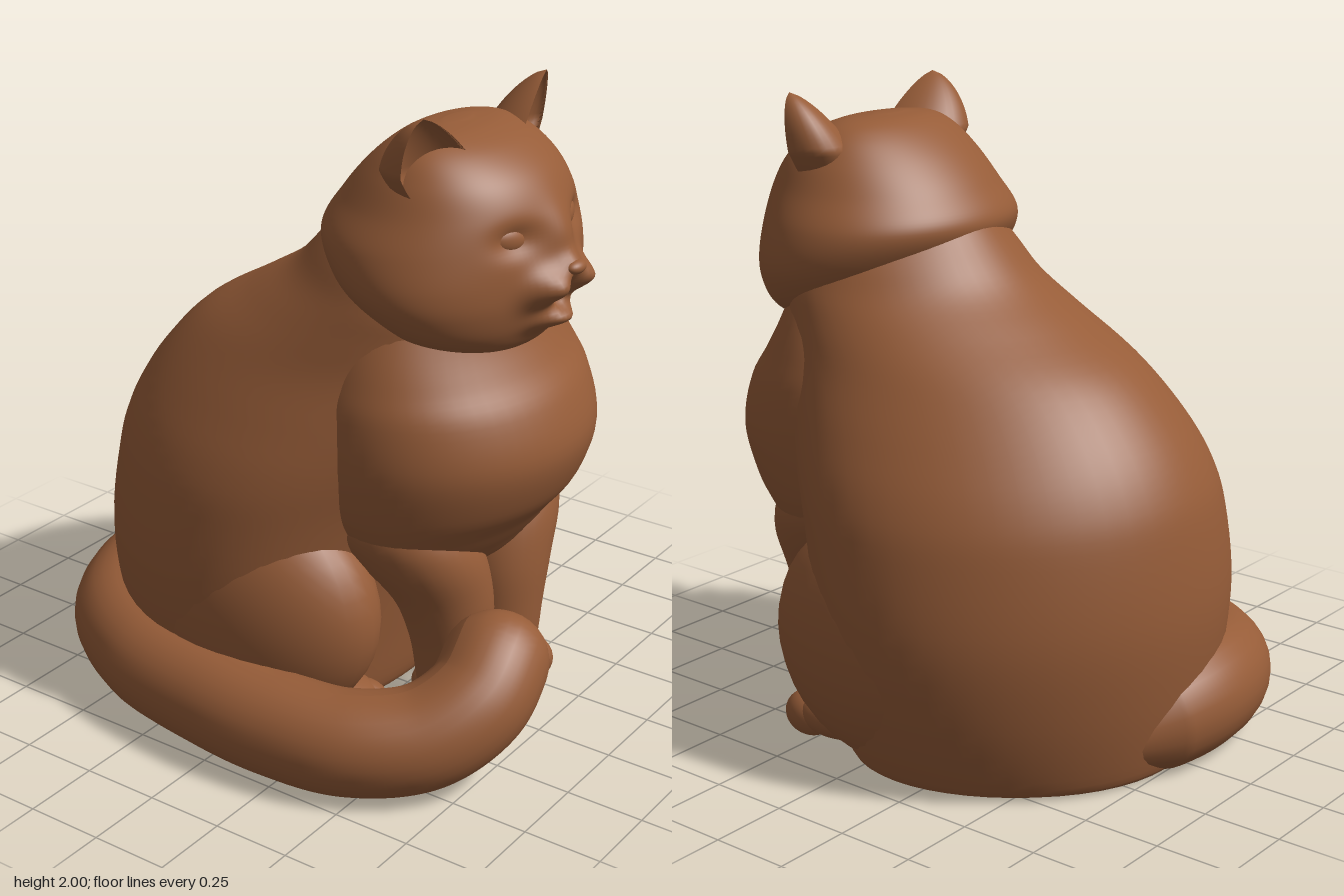
import * as THREE from 'three';

const fur = new THREE.MeshStandardMaterial({ color: 0x965c38 });
fur.name = 'brown fur';

function addMesh(parent, name, geometry) {
  const mesh = new THREE.Mesh(geometry, fur);
  mesh.name = name;
  parent.add(mesh);
  return mesh;
}

// Closed skin over rings of points; each ring is an array of n [x, y, z]
function skin(rings) {
  const n = rings[0].length;
  const index = [];
  for (let i = 0; i < rings.length - 1; i++) {
    for (let j = 0; j < n; j++) {
      const k = (j + 1) % n;
      const a = i * n + j, b = i * n + k, c = a + n, d = b + n;
      index.push(a, c, b, b, c, d);
    }
  }
  const geo = new THREE.BufferGeometry();
  geo.setAttribute('position', new THREE.Float32BufferAttribute(rings.flat(2), 3));
  geo.setIndex(index);
  geo.computeVertexNormals();
  return geo;
}

// Smooth loft upward through elliptical sections [y, halfWidth, zBack, zFront, centreX];
// shift moves the widest point of each section forward
function loft(sections, { sides = 56, perSection = 5, shift = 0 } = {}) {
  const curve = (f) => new THREE.CatmullRomCurve3(sections.map(f), false, 'catmullrom', 0.5);
  const sizes = curve(([y, w, zb]) => new THREE.Vector3(w, y, zb));
  const fronts = curve(([, , , zf, cx = 0]) => new THREE.Vector3(cx, 0, zf));
  const steps = (sections.length - 1) * perSection;
  const rings = [];
  for (let i = 0; i <= steps; i++) {
    const s = sizes.getPoint(i / steps), f = fronts.getPoint(i / steps);
    const ring = [];
    for (let j = 0; j < sides; j++) {
      const a = (j / sides) * Math.PI * 2;
      const z = (s.z + f.z) / 2 + ((f.z - s.z) / 2) * Math.sin(a) + shift * Math.cos(a) ** 2;
      ring.push([f.x + s.x * Math.cos(a), s.y, z]);
    }
    rings.push(ring);
  }
  // close both ends at their centres
  const cap = (ring) => {
    const c = [0, 1, 2].map((k) => ring.reduce((sum, p) => sum + p[k], 0) / ring.length);
    return ring.map(() => c);
  };
  return skin([cap(rings[0]), ...rings, cap(rings[rings.length - 1])]);
}

// Push the front surface in or out with soft bumps [x, y, radiusX, radiusY, height]
function sculptFront(geo, bumps, zMin) {
  const pos = geo.attributes.position;
  for (let i = 0; i < pos.count; i++) {
    const x = pos.getX(i), y = pos.getY(i), z = pos.getZ(i);
    if (z < zMin) continue;
    const push = bumps.reduce((sum, [bx, by, rx, ry, h]) =>
      sum + h * Math.exp(-(((x - bx) / rx) ** 2) - ((y - by) / ry) ** 2), 0);
    pos.setZ(i, z + push);
  }
  geo.computeVertexNormals();
  return geo;
}

function blob(parent, name, [x, y, z], [rx, ry, rz]) {
  const mesh = addMesh(parent, name, new THREE.SphereGeometry(1, 32, 20));
  mesh.position.set(x, y, z);
  mesh.scale.set(rx, ry, rz);
  return mesh;
}

// Rounded paw with three soft toes
function addPaw(parent, name, x, z, w, h, length) {
  const paw = new THREE.Group();
  paw.name = name;
  blob(paw, 'pawPad', [x, h * 0.52, z], [w, h * 0.5, length]);
  for (const i of [-1, 0, 1]) {
    blob(paw, 'toe', [x + i * w * 0.48, h * 0.44, z + length * (i ? 0.46 : 0.52)],
      [w * 0.5, h * 0.41, length * 0.5]);
  }
  parent.add(paw);
}

// Cupped ear: crescent sections tucked in at the base, narrowing to a rounded tip
function earGeometry(side) {
  const rings = [];
  const steps = 20, sides = 32;
  for (let i = 0; i <= steps; i++) {
    const t = i / steps;
    const tuck = 0.72 + 0.28 * Math.min(1, t / 0.35);
    const w = 0.148 * tuck * Math.pow(1 - Math.pow(t, 1.7), 0.68);
    const cx = 0.215 + 0.12 * t, y = 1.74 + 0.26 * t;
    const ring = [];
    for (let j = 0; j < sides; j++) {
      const a = (j / sides) * Math.PI * 2;
      const s = Math.sin(a);
      const x = w * Math.cos(a);
      const z = w * (s > 0 ? -0.5 * s : 1.2 * s) + 0.45 - 0.3 * x;
      ring.push([side * (cx + x), y, z]);
    }
    rings.push(side > 0 ? ring : ring.reverse());
  }
  return skin(rings);
}

// Tapered tail tube curling round one side to the front
function tailGeometry() {
  const path = new THREE.CatmullRomCurve3([
    [0.42, 0.13, -0.5], [0.2, 0.15, -0.63], [-0.1, 0.18, -0.695], [-0.38, 0.17, -0.62],
    [-0.56, 0.16, -0.38], [-0.63, 0.155, -0.05], [-0.64, 0.15, 0.2], [-0.6, 0.15, 0.44],
    [-0.48, 0.18, 0.63], [-0.34, 0.265, 0.72], [-0.22, 0.345, 0.715], [-0.1, 0.375, 0.67],
  ].map((p) => new THREE.Vector3(...p)));
  const steps = 180, sides = 28;
  const geo = new THREE.TubeGeometry(path, steps, 1, sides, false);
  const pos = geo.attributes.position;
  const v = new THREE.Vector3();
  for (let i = 0; i <= steps; i++) {
    const u = i / steps;
    const centre = path.getPointAt(u);
    let r = 0.163 + 0.03 * Math.exp(-(((u - 0.22) / 0.12) ** 2));
    if (u < 0.15) r *= 0.4 + 4 * u;
    if (u > 0.95) r *= Math.sqrt(Math.max(0, 1 - ((u - 0.95) / 0.05) ** 2));
    for (let j = 0; j <= sides; j++) {
      const k = i * (sides + 1) + j;
      v.fromBufferAttribute(pos, k).sub(centre).multiplyScalar(r).add(centre);
      pos.setXYZ(k, v.x, Math.max(v.y, 0.005), v.z);
    }
  }
  geo.computeVertexNormals();
  return geo;
}

export function createModel() {
  const model = new THREE.Group();
  model.name = 'sittingCat';
  const cat = new THREE.Group();
  cat.name = 'body';
  cat.position.x = 0.075;
  model.add(cat);

  // Pear-shaped torso with a flat seat
  addMesh(cat, 'torso', loft([
    [0, 0.56, -0.74, 0.2], [0.04, 0.62, -0.765, 0.24], [0.25, 0.69, -0.81, 0.28],
    [0.5, 0.722, -0.835, 0.33], [0.75, 0.698, -0.815, 0.4], [0.9, 0.658, -0.775, 0.46],
    [1.05, 0.588, -0.685, 0.52], [1.2, 0.51, -0.54, 0.56], [1.32, 0.46, -0.34, 0.56],
    [1.42, 0.42, -0.18, 0.55], [1.52, 0.37, -0.085, 0.49], [1.64, 0.28, 0.01, 0.42],
  ], { shift: 0.1 }));

  // Full chest running up into the neck
  addMesh(cat, 'chest', loft([
    [0.5, 0.1, 0.3, 0.42], [0.54, 0.26, 0.2, 0.53], [0.62, 0.4, 0.1, 0.6], [0.7, 0.46, 0, 0.66],
    [0.8, 0.5, -0.1, 0.735], [0.95, 0.522, -0.12, 0.78], [1.1, 0.512, -0.1, 0.74],
    [1.2, 0.485, -0.05, 0.67], [1.3, 0.445, 0.02, 0.61], [1.42, 0.38, 0.1, 0.56],
  ]));

  // Legs and paws, mirrored
  for (const s of [1, -1]) {
    const side = s > 0 ? 'left' : 'right';
    blob(cat, side + 'Haunch', [s * 0.475, 0.4, -0.045], [0.246, 0.385, 0.42]).rotation.y = -s * 0.06;
    addPaw(cat, side + 'RearPaw', s * 0.425, 0.19, 0.14, 0.18, 0.18);
    addMesh(cat, side + 'FrontLeg', loft([
      [0.04, 0.1, 0.36, 0.56, s * 0.14], [0.15, 0.125, 0.35, 0.585, s * 0.142],
      [0.3, 0.138, 0.33, 0.595, s * 0.153], [0.45, 0.165, 0.28, 0.6, s * 0.178],
      [0.6, 0.2, 0.16, 0.59, s * 0.23], [0.72, 0.19, 0.08, 0.54, s * 0.275],
      [0.9, 0.13, 0.08, 0.42, s * 0.3],
    ], { sides: 32 }));
    addPaw(cat, side + 'FrontPaw', s * 0.13, 0.48, 0.125, 0.18, 0.16);
  }

  // Broad head with wide cheeks; muzzle, chin and eye sockets sculpted in
  const head = new THREE.Group();
  head.name = 'head';
  cat.add(head);
  const skull = loft([
    [1.25, 0.12, 0.38, 0.57], [1.28, 0.25, 0.3, 0.635], [1.34, 0.37, 0.2, 0.67],
    [1.42, 0.435, 0.1, 0.695], [1.5, 0.456, 0.02, 0.705], [1.6, 0.435, -0.03, 0.705],
    [1.7, 0.38, 0.025, 0.69], [1.79, 0.33, 0.1, 0.64], [1.86, 0.27, 0.18, 0.555],
    [1.9, 0.19, 0.25, 0.46], [1.915, 0.06, 0.32, 0.37],
  ], { sides: 160, perSection: 9 });
  addMesh(head, 'skull', sculptFront(skull, [
    [0.08, 1.485, 0.068, 0.055, 0.085], [-0.08, 1.485, 0.068, 0.055, 0.085],
    [0, 1.61, 0.075, 0.09, 0.035], [0, 1.54, 0.05, 0.035, 0.04],
    [0, 1.455, 0.022, 0.05, -0.03], [0, 1.37, 0.08, 0.036, 0.075],
    [0.165, 1.635, 0.068, 0.042, -0.03], [-0.165, 1.635, 0.068, 0.042, -0.03],
  ], 0.4));
  blob(head, 'nose', [0, 1.535, 0.765], [0.042, 0.022, 0.028]);
  for (const s of [1, -1]) {
    const side = s > 0 ? 'left' : 'right';
    addMesh(head, side + 'Ear', earGeometry(s));
    // Almond eye set into its socket
    const eye = blob(head, side + 'Eye', [s * 0.165, 1.635, 0.634], [0.06, 0.037, 0.023]);
    eye.rotation.set(-0.1, s * 0.4, s * 0.2);
  }

  addMesh(model, 'tail', tailGeometry());
  return model;
}
